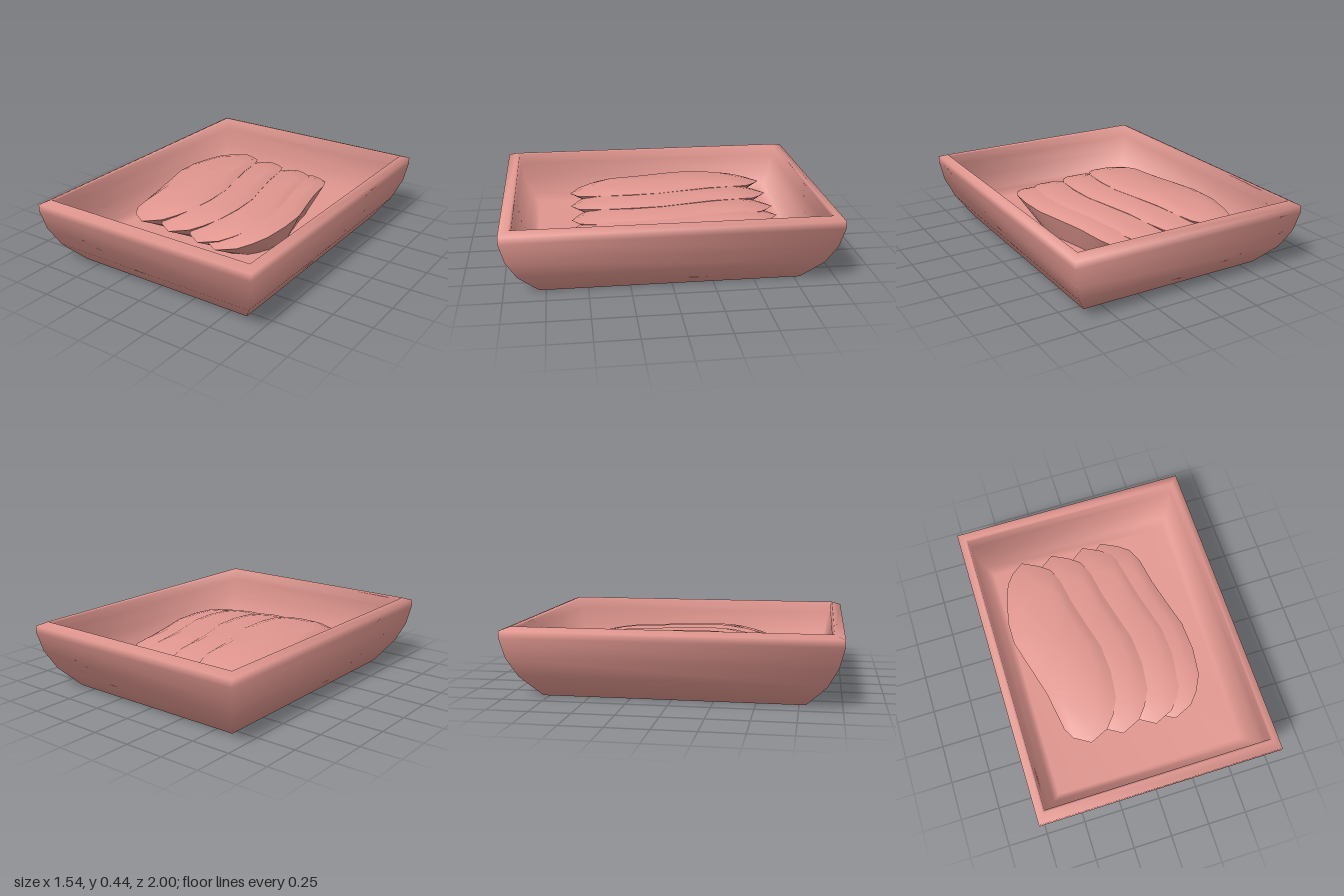
import * as THREE from 'three';
import { toCreasedNormals } from 'three/addons/utils/BufferGeometryUtils.js';

const material = new THREE.MeshStandardMaterial({ color: 0xe0968f });

// Skins a stack of equal-length rings and closes both ends with a fan.
function loft(rings) {
  const n = rings[0].length;
  const points = rings.flat();
  const index = [];
  for (let r = 0; r < rings.length - 1; r++) {
    for (let j = 0; j < n; j++) {
      const a = r * n + j, b = r * n + (j + 1) % n;
      index.push(a, b + n, b, a, a + n, b + n);
    }
  }
  const cap = (ring, start, up) => {
    const centre = points.length;
    points.push(ring.reduce((s, p) => s.add(p), new THREE.Vector3()).divideScalar(n));
    for (let j = 0; j < n; j++) {
      const a = start + j, b = start + (j + 1) % n;
      index.push(centre, up ? b : a, up ? a : b);
    }
  };
  cap(rings[0], 0, false);
  cap(rings[rings.length - 1], (rings.length - 1) * n, true);
  const geometry = new THREE.BufferGeometry().setFromPoints(points);
  geometry.setIndex(index);
  geometry.computeVertexNormals();
  return geometry;
}

function addPart(parent, name, geometry) {
  const mesh = new THREE.Mesh(geometry, material);
  mesh.name = name;
  parent.add(mesh);
  return mesh;
}

// Tray wall: half width, half depth, height; outside upwards, then inside down.
const trayProfile = [
  [0.61, 0.79, 0], [0.70, 0.91, 0.13], [0.75, 0.97, 0.25], [0.77, 1, 0.37],
  [0.77, 1, 0.415], [0.725, 0.94, 0.437], [0.715, 0.925, 0.425],
  [0.705, 0.915, 0.36], [0.69, 0.895, 0.25], [0.65, 0.845, 0.16], [0.61, 0.80, 0.10],
];

// Outline of one slice seen from above (x, z), starting at the back tip.
const sliceOutline = [
  [-0.41, -0.75], [-0.31, -0.69], [-0.24, -0.63], [-0.20, -0.53], [-0.17, -0.35],
  [-0.12, -0.15], [-0.08, 0], [-0.07, 0.19], [-0.09, 0.36], [-0.14, 0.46],
  [-0.20, 0.53], [-0.32, 0.58], [-0.42, 0.52], [-0.46, 0.45], [-0.50, 0.2],
  [-0.56, -0.02], [-0.61, -0.2], [-0.61, -0.35], [-0.57, -0.53], [-0.54, -0.62],
  [-0.49, -0.69],
];

// Cross-section of a slice: inset from the edge, height offset.
const sliceLayers = [[0.4, -0.19], [0.12, -0.06], [0, 0], [0.12, 0.016], [0.3, 0.032]];

// Slices rise to the right and droop towards both tips.
function sliceHeight(x, z) {
  const end = THREE.MathUtils.clamp((Math.abs(z + 0.08) - 0.3) / 0.37, 0, 1);
  return 0.275 + 0.09 * (x + 0.61) - (z > 0 ? 0.045 : 0.03) * end * end;
}

export function createModel() {
  const model = new THREE.Group();
  model.name = 'trayWithSlices';

  addPart(model, 'tray', loft(trayProfile.map(([w, d, y]) =>
    [[-w, -d], [w, -d], [w, d], [-w, d]].map(([x, z]) => new THREE.Vector3(x, y, z)))));

  // Overlapping slices, each tucked under its neighbour
  const slices = new THREE.Group();
  slices.name = 'slices';
  model.add(slices);
  const sliceGeometry = toCreasedNormals(loft(sliceLayers.map(([inset, lift]) =>
    sliceOutline.map(([x, z]) => {
      const px = THREE.MathUtils.lerp(x, -0.34, inset);
      const pz = THREE.MathUtils.lerp(z, -0.08, inset);
      return new THREE.Vector3(px, sliceHeight(px, pz) + lift, pz);
    }))), 0.8);
  [0, 0.21, 0.43, 0.56].forEach((shift, i) => {
    addPart(slices, 'slice' + (i + 1), sliceGeometry).position.set(shift, -0.013 * i, 0);
  });
  return model;
}
